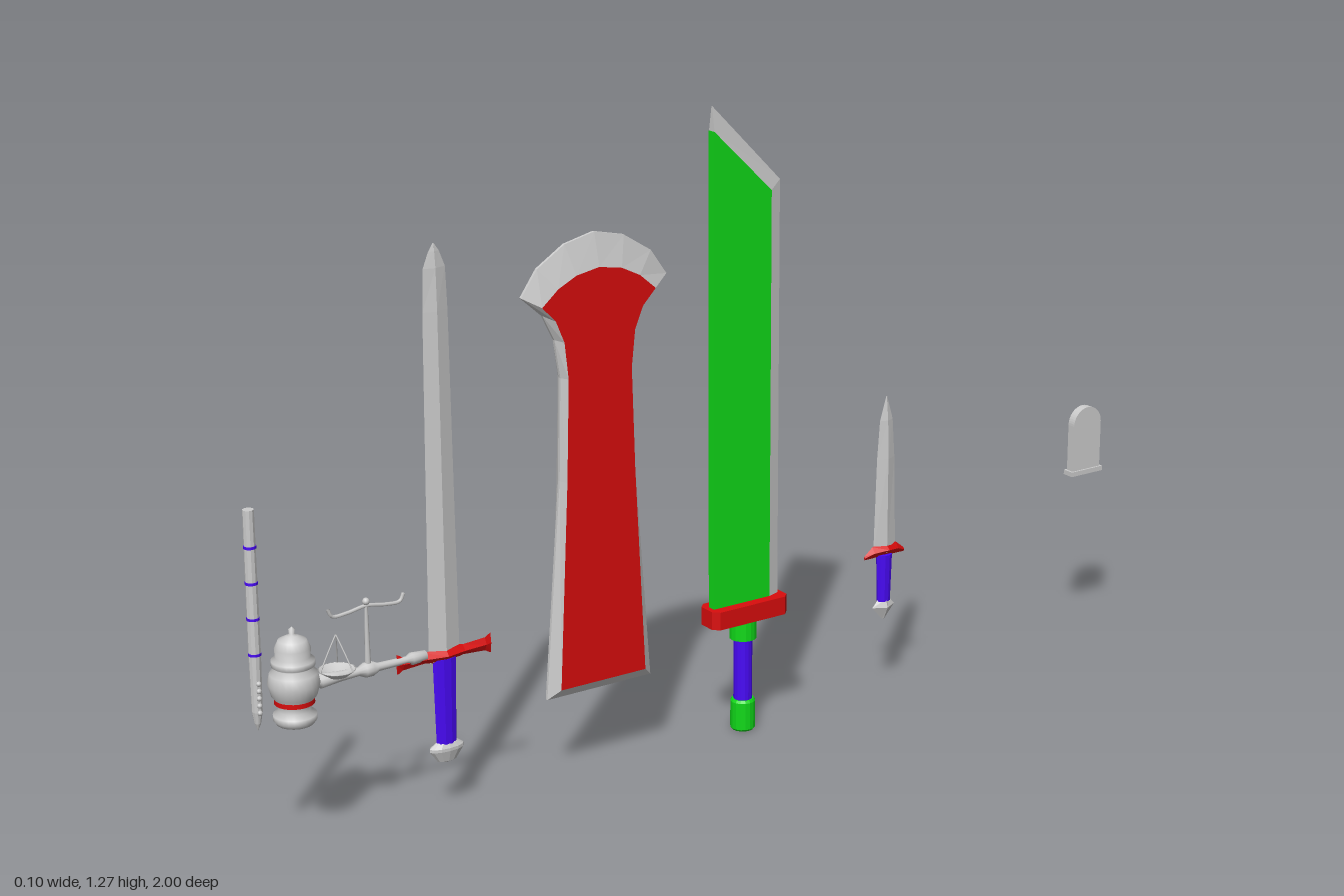
import * as THREE from 'three';

const material = (color, flat = true) =>
  new THREE.MeshStandardMaterial({ color, flatShading: flat, side: THREE.DoubleSide });
const GREY = material(0xcccccc), RED = material(0xd90d0d), GREEN = material(0x10d818), BLUE = material(0x4808f5);
const SMOOTH = material(0xcccccc, false), SMOOTH_RED = material(0xd90d0d, false);

function add(parent, name, geometry, mat, x = 0, y = 0, z = 0) {
  const mesh = new THREE.Mesh(geometry, mat);
  mesh.name = name;
  mesh.position.set(x, y, z);
  parent.add(mesh);
  return mesh;
}

function group(parent, name, x, y, z) {
  const g = new THREE.Group();
  g.name = name;
  g.position.set(x, y, z);
  parent.add(g);
  return g;
}

function buffer(points) {
  const g = new THREE.BufferGeometry();
  g.setAttribute('position', new THREE.Float32BufferAttribute(points.flat(), 3));
  g.computeVertexNormals();
  return g;
}

// Diamond cross-sections [height, half thickness in x, half width in z] joined upwards
function diamondLoft(sections) {
  const rings = sections.map(([y, a, b]) => [[a, y, 0], [0, y, b], [-a, y, 0], [0, y, -b]]);
  const tri = [];
  for (let i = 0; i < rings.length - 1; i++) {
    for (let j = 0; j < 4; j++) {
      const k = (j + 1) % 4, lo = rings[i], hi = rings[i + 1];
      tri.push(lo[j], hi[j], lo[k], lo[k], hi[j], hi[k]);
    }
  }
  const first = rings[0], last = rings[rings.length - 1];
  tri.push(first[0], first[1], first[2], first[0], first[2], first[3]);
  tri.push(last[0], last[2], last[1], last[0], last[3], last[2]);
  return buffer(tri);
}

// Flat blade in the zy plane: coloured faces at +-h, bevelled out to a rim of half thickness e
function bevelledBlade(parent, outer, inner, h, e, faceMat) {
  const face = new THREE.ShapeGeometry(new THREE.Shape(inner.map(p => new THREE.Vector2(...p))));
  face.rotateY(-Math.PI / 2);
  const rim = [];
  for (const s of [-1, 1]) {
    const side = face.clone();
    if (s > 0) side.scale(-1, 1, 1);
    if (s > 0) {
      const ix = side.index.array;
      for (let i = 0; i < ix.length; i += 3) [ix[i], ix[i + 1]] = [ix[i + 1], ix[i]];
      side.computeVertexNormals();
    }
    add(parent, 'bladeFace', side, faceMat, s * h);
    outer.forEach((p, i) => {
      const j = (i + 1) % outer.length;
      const a = [s * e, p[1], p[0]], b = [s * e, outer[j][1], outer[j][0]];
      const c = [s * h, inner[i][1], inner[i][0]], d = [s * h, inner[j][1], inner[j][0]];
      if (s > 0) rim.push(a, c, b, b, c, d);
      else rim.push(a, b, c, b, d, c);
      if (s > 0 && e > 0) {
        const a2 = [-e, a[1], a[2]], b2 = [-e, b[1], b[2]];
        rim.push(a, b, a2, b, b2, a2);
      }
    });
  }
  add(parent, 'bladeEdge', buffer(rim), GREY);
}

const cyl = (r, h, n = 16, r2 = r) => new THREE.CylinderGeometry(r, r2, h, n);
const lathe = (pts, n = 24) => new THREE.LatheGeometry(pts.map(p => new THREE.Vector2(...p)), n);
const tube = (pts, r, n = 16) => new THREE.TubeGeometry(
  new THREE.CatmullRomCurve3(pts.map(p => new THREE.Vector3(...p))), n, r, 6);

function greatBlade(root) {
  const g = group(root, 'greatBlade', 0, 0, 0);
  // Slab with a slanted tip, sharpened on the back side and tip
  const outer = [[0, 0.26], [0, 1.27], [-0.158, 1.11], [-0.158, 0.26]];
  const inner = [[0, 0.26], [0, 1.222], [-0.133, 1.093], [-0.133, 0.26]];
  bevelledBlade(g, outer, inner, 0.009, 0.001, GREEN);
  add(g, 'bladeSpine', new THREE.BoxGeometry(0.018, 0.962, 0.002), GREEN, 0, 0.741, 0);
  // Guard block with chamfered corners
  const s = new THREE.Shape([[0.03, 0.078], [0.018, 0.09], [-0.018, 0.09], [-0.03, 0.078],
    [-0.03, -0.078], [-0.018, -0.09], [0.018, -0.09], [0.03, -0.078]].map(p => new THREE.Vector2(...p)));
  const guard = new THREE.ExtrudeGeometry(s, { depth: 0.037, bevelEnabled: false });
  guard.rotateX(-Math.PI / 2);
  add(g, 'guard', guard, RED, 0, 0.233, -0.078);
  add(g, 'collar', cyl(0.027, 0.04), GREEN, 0, 0.213, -0.075);
  add(g, 'grip', cyl(0.019, 0.14), BLUE, 0, 0.13, -0.075);
  add(g, 'pommel', lathe([[0, 0], [0.022, 0], [0.025, 0.004], [0.025, 0.06], [0.022, 0.065], [0, 0.065]], 16),
    GREEN, 0, 0, -0.075);
}

function flaredBlade(root) {
  const g = group(root, 'flaredBlade', 0, 0, 0.266);
  // Half outline from the foot to the top of the arc, mirrored
  const mirror = half => [...half, ...half.slice(0, -1).reverse().map(([z, y]) => [-z, y])];
  const outer = mirror([[0.118, 0.168], [0.083, 0.60], [0.078, 0.80], [0.09, 0.875], [0.115, 0.925],
    [0.16, 0.965], [0.125, 1.015], [0.065, 1.053], [0, 1.068]]);
  const inner = mirror([[0.096, 0.188], [0.076, 0.60], [0.07, 0.80], [0.078, 0.872], [0.096, 0.915],
    [0.125, 0.945], [0.09, 0.975], [0.05, 0.995], [0, 1.004]]);
  // Outlines run clockwise on the -z side after mirroring, closing along the foot
  bevelledBlade(g, outer, inner, 0.019, 0.003, RED);
}

function longSword(root) {
  const g = group(root, 'longSword', 0, 0, 0.605);
  add(g, 'blade', diamondLoft([[0.3, 0.01, 0.033], [0.97, 0.008, 0.026], [1.05, 0.006, 0.023],
    [1.08, 0.003, 0.011], [1.095, 0.0005, 0.001]]), GREY);
  const guard = diamondLoft([[-0.1, 0.003, 0.02], [-0.088, 0.006, 0.013], [-0.04, 0.01, 0.01], [0, 0.018, 0.02],
    [0.04, 0.01, 0.01], [0.088, 0.006, 0.013], [0.1, 0.003, 0.02]]);
  guard.rotateX(Math.PI / 2);
  add(g, 'guard', guard, RED, 0, 0.312, 0);
  add(g, 'grip', cyl(0.025, 0.18, 10, 0.021), BLUE, 0, 0.215, 0).scale.x = 0.5;
  add(g, 'pommel', lathe([[0, 0.095], [0.02, 0.1], [0.036, 0.122], [0.036, 0.128], [0.022, 0.138], [0, 0.138]], 12),
    GREY).scale.x = 0.4;
}

function dagger(root) {
  const g = group(root, 'dagger', 0, 0, -0.427);
  add(g, 'blade', diamondLoft([[0.3, 0.01, 0.028], [0.5, 0.009, 0.022], [0.58, 0.006, 0.016],
    [0.63, 0.0005, 0.001]]), GREY);
  const guard = diamondLoft([[-0.05, 0.002, 0.004], [-0.03, 0.008, 0.012], [0, 0.018, 0.016],
    [0.03, 0.008, 0.012], [0.05, 0.002, 0.004]]);
  // Guard tips droop
  const p = guard.attributes.position;
  for (let i = 0; i < p.count; i++) p.setZ(i, p.getZ(i) + 5 * p.getY(i) ** 2);
  guard.rotateX(Math.PI / 2);
  guard.computeVertexNormals();
  add(g, 'guard', guard, RED, 0, 0.308, 0);
  add(g, 'grip', cyl(0.018, 0.1, 10, 0.015), BLUE, 0, 0.245, 0).scale.x = 0.7;
  add(g, 'pommel', diamondLoft([[0.155, 0.002, 0.003], [0.183, 0.015, 0.028], [0.2, 0.009, 0.013]]), GREY);
}

function tombstone(root) {
  const g = group(root, 'tombstone', 0, 0, -0.958);
  // Round-topped slab on a slightly wider foot
  const s = new THREE.Shape();
  s.moveTo(-0.037, 0.375);
  s.lineTo(0.037, 0.375);
  s.lineTo(0.037, 0.478);
  s.absarc(0, 0.478, 0.037, 0, Math.PI, false);
  const slab = new THREE.ExtrudeGeometry(s, { depth: 0.018, bevelEnabled: false, curveSegments: 12 });
  slab.translate(0, 0, -0.009);
  slab.rotateY(-Math.PI / 2);
  add(g, 'slab', slab, GREY);
  add(g, 'foot', new THREE.BoxGeometry(0.026, 0.01, 0.084), GREY, 0, 0.374, 0);
}

function urn(root) {
  const g = group(root, 'urn', 0, 0, 0.917);
  add(g, 'body', lathe([[0, 0.25], [0.034, 0.25], [0.04, 0.258], [0.04, 0.268], [0.03, 0.276], [0.033, 0.294],
    [0.042, 0.305], [0.048, 0.328], [0.044, 0.347], [0.034, 0.358], [0.04, 0.362], [0.04, 0.372], [0.032, 0.378],
    [0.033, 0.395], [0.026, 0.41], [0.01, 0.418], [0.005, 0.422], [0.006, 0.43], [0, 0.435]]), SMOOTH);
  add(g, 'band', cyl(0.037, 0.009, 24), SMOOTH_RED, 0, 0.294, 0);
}

function bandedRod(root) {
  const g = group(root, 'bandedRod', -0.01, 0, 0.987);
  add(g, 'rod', lathe([[0, 0.247], [0.006, 0.262], [0.01, 0.285], [0.0115, 0.40], [0.0105, 0.667], [0, 0.667]], 10), GREY);
  for (let i = 0; i < 4; i++) add(g, 'rodBand', cyl(0.012, 0.005, 10), BLUE, 0, 0.395 + i * 0.0675, 0);
  // Small studs near the foot
  for (let i = 0; i < 5; i++) add(g, 'stud', new THREE.SphereGeometry(0.005, 8, 6), SMOOTH, 0.011, 0.285 + i * 0.014, 0);
}

function balance(root) {
  const g = group(root, 'balance', 0, 0, 0.765);
  // Turned arm lying between the urn and the sword
  const arm = lathe([[0, -0.12], [0.01, -0.12], [0.012, -0.09], [0.007, -0.08], [0.008, -0.02], [0.014, -0.008],
    [0.014, 0.008], [0.008, 0.02], [0.01, 0.06], [0.014, 0.1], [0, 0.11]], 12);
  arm.rotateX(Math.PI / 2);
  add(g, 'arm', arm, SMOOTH, 0, 0.318, 0);
  add(g, 'post', cyl(0.003, 0.13, 8, 0.006), SMOOTH, 0, 0.385, 0);
  add(g, 'finial', new THREE.SphereGeometry(0.007, 10, 8), SMOOTH, 0, 0.45, 0);
  // Beam with hooked ends
  add(g, 'beam', tube([[0, 0.45, -0.078], [0, 0.436, -0.07], [0, 0.436, -0.04], [0, 0.442, 0],
    [0, 0.436, 0.04], [0, 0.436, 0.07], [0, 0.45, 0.078]], 0.0035, 32), SMOOTH);
  // Hanging pan
  const z = 0.064;
  add(g, 'pan', lathe([[0, 0.318], [0.02, 0.321], [0.035, 0.333], [0.033, 0.333], [0.018, 0.324], [0, 0.321]]), SMOOTH, 0, 0, z);
  for (let i = 0; i < 3; i++) {
    const a = (i / 3) * 2 * Math.PI + Math.PI / 2;
    add(g, 'chain', tube([[0, 0.4, z], [0.018 * Math.cos(a), 0.366, z + 0.018 * Math.sin(a)],
      [0.034 * Math.cos(a), 0.333, z + 0.034 * Math.sin(a)]], 0.0014, 4), SMOOTH);
  }
}

export function createModel() {
  const root = new THREE.Group();
  root.name = 'weaponSet';
  [greatBlade, flaredBlade, longSword, dagger, tombstone, urn, bandedRod, balance].forEach(build => build(root));
  return root;
}
